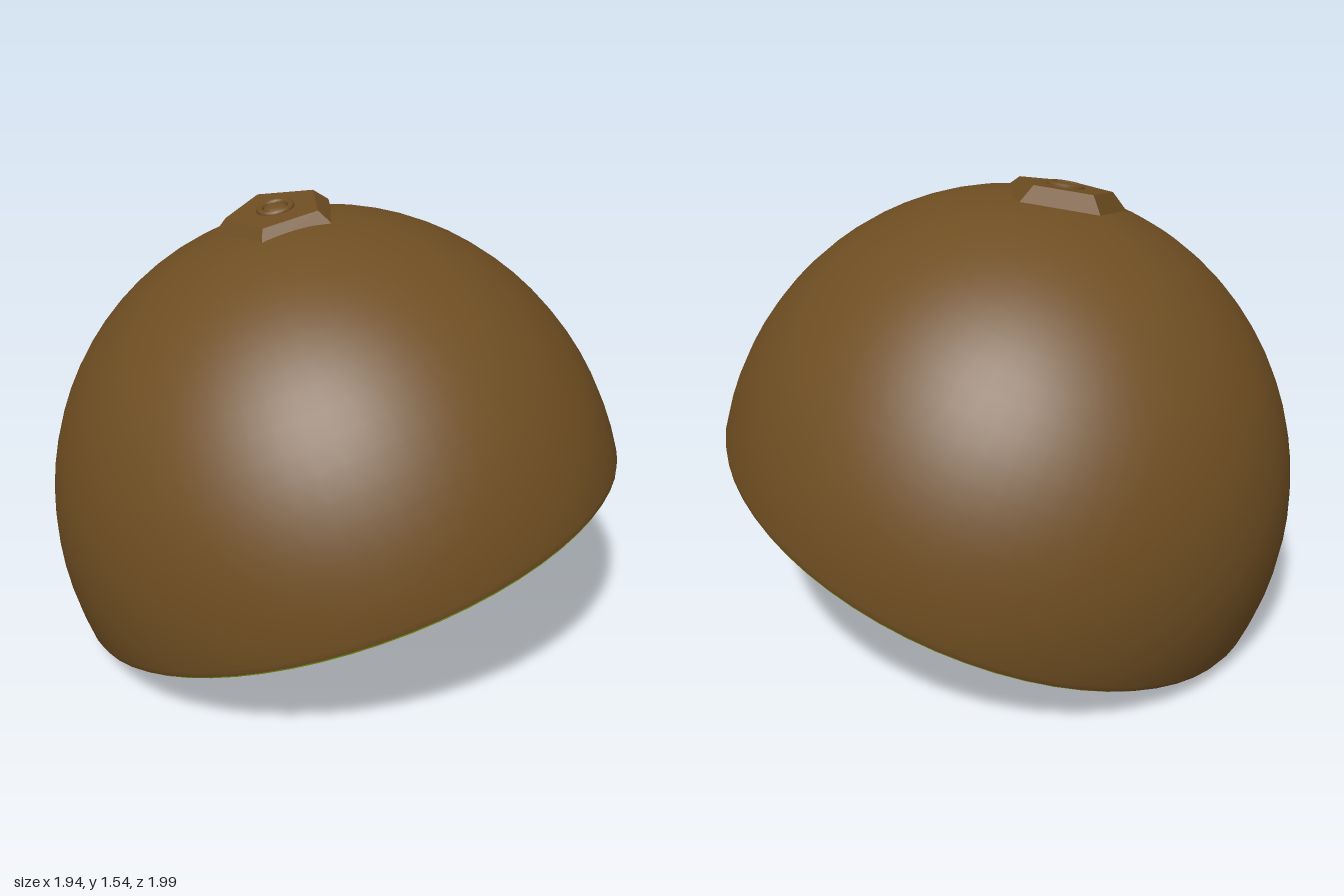
import * as THREE from 'three';

const mat = (name, color) => {
  const m = new THREE.MeshStandardMaterial({ color });
  m.name = name;
  return m;
};

export function createModel() {
  const skin = mat('brown skin', 0x6f4e22);
  const flesh = mat('green flesh', 0xaacb1e);
  const midGreen = mat('middle green', 0x769a22);
  const darkGreen = mat('dark green', 0x57721f);
  const seedBlack = mat('seed black', 0x3e3a22);
  const cream = mat('pale core', 0xeaf2c8);

  const model = new THREE.Group();
  model.name = 'halfFruit';
  const add = (parent, name, geometry, material) => {
    const mesh = new THREE.Mesh(geometry, material);
    mesh.name = name;
    parent.add(mesh);
    return mesh;
  };

  let seed = 7;
  const rand = () => (seed = (seed * 16807) % 2147483647) / 2147483647;

  // Tilted half: local y is the axis, the cut face lies at y = 0 facing down
  const half = new THREE.Group();
  half.name = 'tiltedHalf';
  half.position.set(0.025, 0.338, 0.052);
  half.quaternion.setFromUnitVectors(
    new THREE.Vector3(0, 1, 0), new THREE.Vector3(-0.188, 0.938, -0.291).normalize());
  half.scale.x = 0.968;
  model.add(half);

  // Domed skin, slightly more than half an ellipsoid, turned in at the rim
  const profile = [new THREE.Vector2(0.984, 0.008)];
  const start = -0.115;
  for (let i = 0; i <= 20; i++) {
    const t = start + (Math.PI / 2 - start) * i / 20;
    profile.push(new THREE.Vector2(Math.max(0, Math.cos(t)), 0.15 + 1.02 * Math.sin(t)));
  }
  add(half, 'skin', new THREE.LatheGeometry(profile, 64), skin);

  // Thin lip and flat cut face
  const lip = [new THREE.Vector2(0.976, 0), profile[0]];
  add(half, 'fleshLip', new THREE.LatheGeometry(lip, 64), flesh);
  add(half, 'cutFace', new THREE.CircleGeometry(0.976, 64).rotateX(Math.PI / 2), flesh);

  // Flat layers on the cut face: radius follows a wavy ellipse
  const layer = (name, rx, rz, lobes, depth, jitter, offset, material) => {
    const pts = [];
    const n = lobes * 6;
    let wobble = 1;
    for (let i = 0; i < n; i++) {
      if (i % 6 === 0) wobble = 1 + (rand() - 0.5) * jitter;
      const a = i / n * Math.PI * 2;
      const k = wobble * (1 - depth + depth * Math.abs(Math.sin(a * lobes / 2)));
      pts.push(new THREE.Vector2(Math.cos(a) * rx * k, Math.sin(a) * rz * k));
    }
    const g = new THREE.ShapeGeometry(new THREE.Shape(pts)).rotateX(Math.PI / 2);
    add(half, name, g, material).position.set(0, -offset, 0.02);
  };
  layer('outerRing', 0.65, 0.72, 28, 0.1, 0.1, 0.002, midGreen);
  layer('innerRing', 0.51, 0.57, 26, 0.12, 0.14, 0.004, darkGreen);

  // Fine radial fibres
  const fibres = new THREE.Group();
  fibres.name = 'fibres';
  half.add(fibres);
  for (let i = 0; i < 44; i++) {
    const a = (i + rand() * 0.5) / 44 * Math.PI * 2;
    const r0 = 0.3, r1 = 0.7 + rand() * 0.17;
    const g = new THREE.PlaneGeometry(r1 - r0, 0.005)
      .translate((r0 + r1) / 2, 0, 0).rotateZ(a).rotateX(Math.PI / 2);
    add(fibres, 'fibre', g, darkGreen).position.y = -0.005;
  }

  // Seeds in a staggered double ring
  const seeds = new THREE.Group();
  seeds.name = 'seeds';
  half.add(seeds);
  for (let i = 0; i < 40; i++) {
    const a = (i + rand() * 0.6) / 40 * Math.PI * 2;
    const r = (i % 2 ? 0.43 : 0.35) + rand() * 0.05;
    const g = new THREE.CircleGeometry(1, 10).scale(0.046, 0.022, 1)
      .rotateZ(a).translate(Math.cos(a) * r, Math.sin(a) * r * 1.13, 0).rotateX(Math.PI / 2);
    add(seeds, 'seed', g, seedBlack).position.set(0, -0.006, 0.02);
  }
  layer('core', 0.225, 0.31, 18, 0.1, 0.16, 0.008, cream);

  // Five-sided tapering stem scar with a small ringed button
  const stem = new THREE.Group();
  stem.name = 'stemScar';
  stem.position.set(-0.15, 1.512, -0.13);
  stem.quaternion.setFromUnitVectors(
    new THREE.Vector3(0, 1, 0), new THREE.Vector3(-0.2, 1, -0.03).normalize());
  model.add(stem);
  const scar = new THREE.CylinderGeometry(0.165, 0.222, 0.055, 5, 1, false, 0.35).toNonIndexed();
  scar.computeVertexNormals();
  add(stem, 'scarPlate', scar, skin).position.y = -0.0275;
  add(stem, 'buttonRing', new THREE.TorusGeometry(0.052, 0.012, 8, 20).rotateX(Math.PI / 2), skin);
  add(stem, 'button', new THREE.SphereGeometry(0.04, 16, 8).scale(1, 0.3, 1), skin);

  return model;
}
